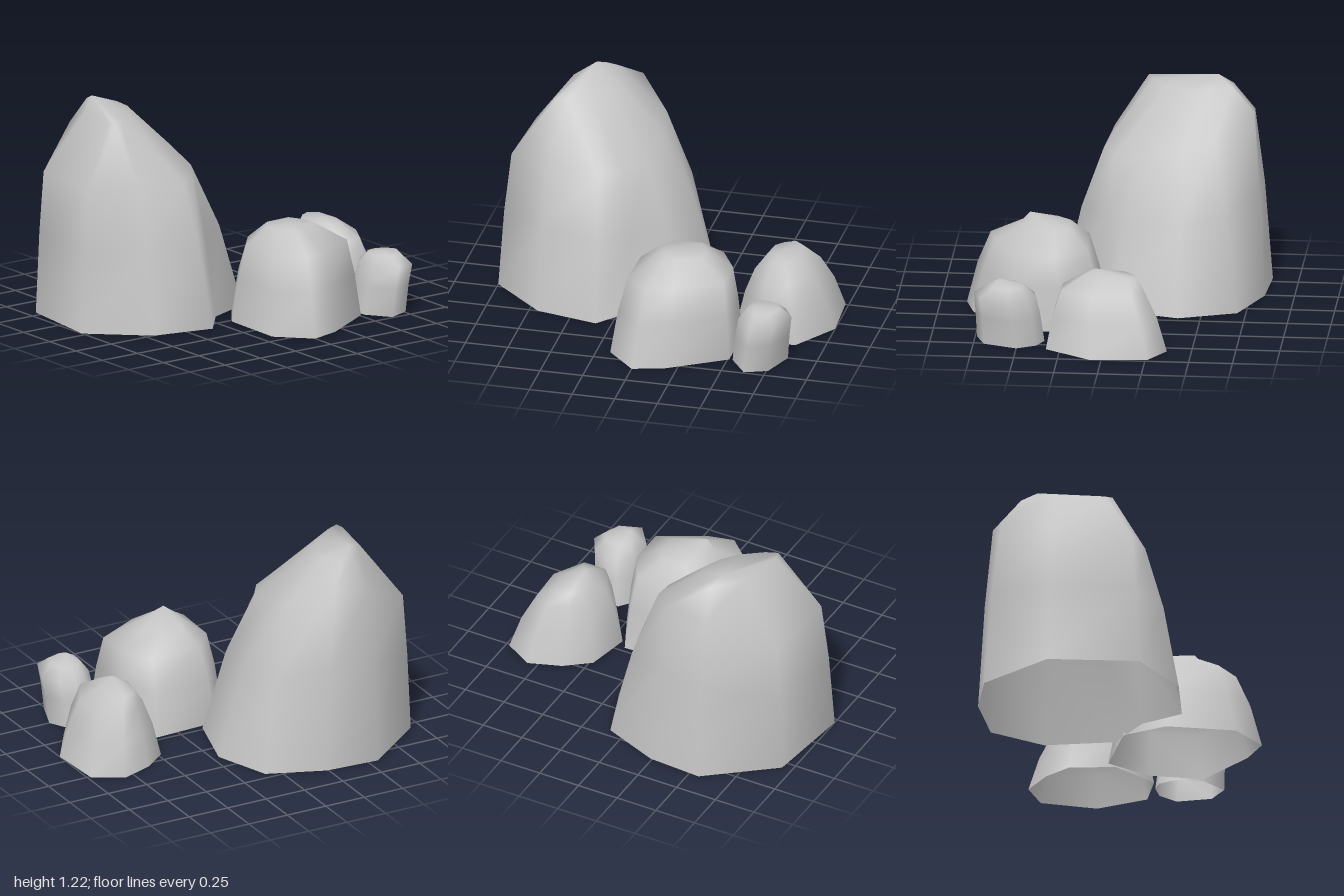
import * as THREE from 'three';

// Fits a ground outline into a box at one height, giving a ring of [x, y, z] points.
function fitRing(outline, y, xRange, zRange) {
  const fit = (axis, range) => {
    const values = outline.map(p => p[axis]);
    const low = Math.min(...values), high = Math.max(...values);
    return values.map(v => THREE.MathUtils.mapLinear(v, low, high, ...range));
  };
  const xs = fit(0, xRange), zs = fit(1, zRange);
  return xs.map((x, i) => [x, y, zs[i]]);
}

// Lofts a ground outline [x, z] through flank, shoulder and crown to the peak.
// The underside stays open.
function rockGeometry(outline, shoulder, crown, peak) {
  const n = outline.length;
  // The flank is further up than it is inwards, so the side bulges.
  const flank = outline.map(([x, z], i) => {
    const [sx, sy, sz] = shoulder[i];
    return [x + (sx - x) * 0.45, sy * 0.57, z + (sz - z) * 0.45];
  });
  const foot = outline.map(([x, z]) => [x, 0, z]);
  const points = [...foot, ...flank, ...shoulder, ...crown, peak];

  const index = [];
  const crownStart = 3 * n, tip = 4 * n;
  for (let i = 0; i < n; i++) {
    const j = (i + 1) % n;
    for (let row = 0; row < crownStart; row += n) {
      const a = row + i, b = row + j;
      index.push(a, a + n, b, b, a + n, b + n);
    }
    index.push(crownStart + i, tip, crownStart + j);
  }

  const geometry = new THREE.BufferGeometry();
  geometry.setAttribute('position', new THREE.Float32BufferAttribute(points.flat(), 3));
  geometry.setIndex(index);
  geometry.computeVertexNormals();
  return geometry;
}

export function createModel() {
  const group = new THREE.Group();
  group.name = 'rockCluster';
  const stone = new THREE.MeshStandardMaterial({ color: 0xc6c6c6, side: THREE.DoubleSide });
  stone.name = 'light stone grey';

  const addRock = (name, outline, shoulder, crown, peak) => {
    const mesh = new THREE.Mesh(rockGeometry(outline, shoulder, crown, peak), stone);
    mesh.name = name;
    group.add(mesh);
  };

  // Tall boulder at the back: steep rear, sloping front and an off-centre ridge
  const largeFoot = [[-0.56, -0.85], [-0.24, -0.83], [0.09, -0.7], [0.21, -0.37], [0.1, 0.02],
    [-0.17, 0.13], [-0.34, 0.33], [-0.7, 0.25], [-1, -0.03], [-0.94, -0.55]];
  const largeShoulder = [[-0.55, 1.02, -0.75], [-0.33, 1.07, -0.76], [-0.14, 0.95, -0.55],
    [-0.12, 0.9, -0.38], [-0.16, 0.84, -0.12], [-0.25, 0.82, 0.02], [-0.38, 0.82, 0.1],
    [-0.68, 0.86, 0.06], [-0.93, 0.82, -0.06], [-0.9, 0.83, -0.53]];
  const largeCrown = [[-0.52, 1.18, -0.63], [-0.45, 1.17, -0.63], [-0.4, 1.17, -0.5],
    [-0.39, 1.16, -0.42], [-0.43, 1.16, -0.34], [-0.5, 1.16, -0.25], [-0.62, 1.16, -0.16],
    [-0.69, 1.16, -0.13], [-0.7, 1.16, -0.18], [-0.66, 1.17, -0.45]];
  addRock('largeRock', largeFoot, largeShoulder, largeCrown, [-0.55, 1.22, -0.54]);

  // Rounded rock in front
  const mediumFoot = [[0, 0.05], [0.39, 0.03], [0.51, 0.28], [0.51, 0.6],
    [0.18, 0.8], [0, 0.85], [-0.17, 0.67], [-0.16, 0.27]];
  addRock('mediumRock', mediumFoot,
    fitRing(mediumFoot, 0.44, [-0.09, 0.46], [0.13, 0.71]),
    fitRing(mediumFoot, 0.54, [0.04, 0.31], [0.24, 0.52]),
    [0.1, 0.58, 0.48]);

  // Low rock at the side
  const sideFoot = [[0.43, 0.08], [0.48, -0.18], [0.62, -0.29], [0.81, -0.36],
    [0.98, -0.26], [1, 0.07], [0.83, 0.33], [0.6, 0.33]];
  addRock('sideRock', sideFoot,
    fitRing(sideFoot, 0.33, [0.53, 0.87], [-0.23, 0.25]),
    fitRing(sideFoot, 0.405, [0.59, 0.77], [-0.18, 0.13]),
    [0.66, 0.435, 0.06]);

  // Smallest stone
  const smallFoot = [[0.53, 0.6], [0.54, 0.45], [0.61, 0.36], [0.68, 0.35],
    [0.77, 0.39], [0.83, 0.5], [0.76, 0.69], [0.63, 0.74]];
  addRock('smallRock', smallFoot,
    fitRing(smallFoot, 0.28, [0.57, 0.86], [0.4, 0.755]),
    fitRing(smallFoot, 0.335, [0.61, 0.8], [0.47, 0.67]),
    [0.66, 0.36, 0.61]);

  return group;
}
